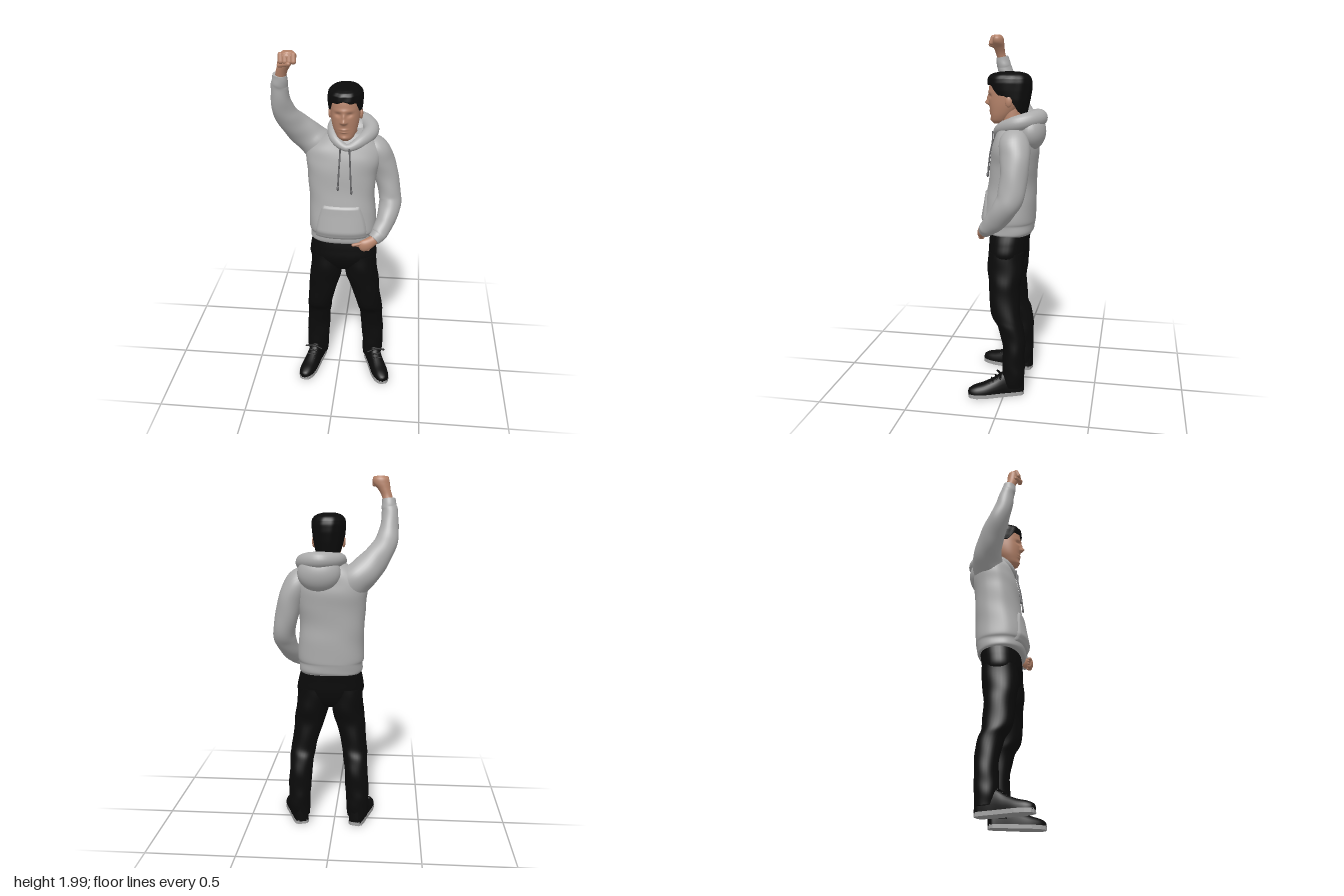
import * as THREE from 'three';

const V = (x, y, z) => new THREE.Vector3(x, y, z);
const material = (name, color) => Object.assign(new THREE.MeshStandardMaterial({ color }), { name });
const spow = (c, n) => Math.sign(c) * Math.abs(c) ** (2 / n);

// Grid surface from a rule fn(i, j); closed joins the last column to the first
function surf(rows, cols, fn, closed = true) {
  const pos = [], idx = [], w = closed ? cols : cols + 1;
  for (let i = 0; i <= rows; i++) for (let j = 0; j < w; j++) pos.push(...fn(i, j).toArray());
  for (let i = 0; i < rows; i++) for (let j = 0; j < cols; j++) {
    const k = (j + 1) % w, a = i * w + j, b = a + w, c = i * w + k, d = c + w;
    idx.push(a, b, c, c, b, d);
  }
  const g = new THREE.BufferGeometry();
  g.setAttribute('position', new THREE.Float32BufferAttribute(pos, 3));
  g.setIndex(idx);
  g.computeVertexNormals();
  return g;
}

// Capped loft through rows of [x, y, z, halfWidth, halfDepth]; level rings unless ref is given
function loft(rows, { ref, seg = 32, steps = 40, n = 2, fold = 0 } = {}) {
  const make = (pts) => new THREE.CatmullRomCurve3(pts, false, 'catmullrom', 0.5);
  const path = make(rows.map((r) => V(r[0], r[1], r[2])));
  const size = make(rows.map((r) => V(r[3], r[4], 0)));
  return surf(steps + 4, seg, (i, j) => {
    const t = Math.min(Math.max((i - 2) / steps, 0), 1), p = path.getPoint(t), s = size.getPoint(t);
    if (i === 0 || i === steps + 4) return p;
    const tan = ref ? path.getTangent(t) : V(0, 1, 0);
    const u = ref ? ref.clone().cross(tan).normalize() : V(1, 0, 0), v = u.clone().cross(tan);
    const a = (j / seg) * Math.PI * 2;
    const f = 1 + fold * (Math.sin(26 * t + 2 * a) + 0.6 * Math.sin(41 * t - 3 * a));
    return p.addScaledVector(u, s.x * f * spow(Math.cos(a), n)).addScaledVector(v, s.y * f * spow(Math.sin(a), n));
  });
}

// Linear lookup of a row at height y
function rowAt(rows, y) {
  let k = 0;
  while (k < rows.length - 2 && y > rows[k + 1][1]) k++;
  const t = THREE.MathUtils.clamp((y - rows[k][1]) / (rows[k + 1][1] - rows[k][1]), 0, 1);
  return rows[k].map((v, i) => v + (rows[k + 1][i] - v) * t);
}

const TORSO = [
  [.02, .915, -.01, .165, .115], [.02, .93, 0, .178, .132], [.02, .97, 0, .18, .136], [.02, 1, .004, .185, .146],
  [.018, 1.1, -.005, .184, .137], [.012, 1.2, -.013, .18, .13], [.015, 1.3, -.022, .19, .128],
  [.02, 1.38, -.03, .205, .125], [.025, 1.44, -.035, .2, .115], [.035, 1.49, -.04, .16, .1], [.042, 1.54, -.035, .09, .075]];
const frontZ = (x, y) => {
  const [cx, , cz, rx, rz] = rowAt(TORSO, y);
  return cz + rz * Math.max(0, 1 - Math.abs((x - cx) / rx) ** 2.5) ** 0.4;
};

export function createModel() {
  const root = new THREE.Group();
  root.name = 'standingFigure';
  const cloth = material('hoodieGrey', 0xacacac), black = material('black', 0x0b0b0b);
  const skin = material('skin', 0xb5836a), rubber = material('soleGrey', 0xa2a2a2), cord = material('cordGrey', 0x666668);
  const add = (name, geo, mat, parent = root) => {
    const m = new THREE.Mesh(geo, mat);
    m.name = name;
    parent.add(m);
    return m;
  };
  const ball = (name, mat, p, s) => {
    const m = add(name, new THREE.SphereGeometry(1, 28, 20), mat);
    m.position.set(...p);
    m.scale.set(...s);
  };
  const rod = (name, mat, a, b, r, parent = root) => {
    const p = V(...a), d = V(...b).sub(p);
    const m = add(name, new THREE.CapsuleGeometry(r, d.length(), 6, 12), mat, parent);
    m.position.copy(p).addScaledVector(d, 0.5);
    m.quaternion.setFromUnitVectors(V(0, 1, 0), d.normalize());
  };

  // Hoodie body and front pocket
  add('hoodieBody', loft(TORSO, { n: 2.5, seg: 56, steps: 70, fold: .007 }), cloth);
  add('pocket', surf(20, 32, (i, j) => {
    const v = i / 20, u = 1 - j / 32, y = .955 + .2 * v;
    const x = THREE.MathUtils.lerp(-.125 + .045 * v * v, .165 - .045 * v * v, u);
    const edge = i % 20 === 0 || j % 32 === 0;
    return V(x, y, frontZ(x, y) + (edge ? -.004 : .009));
  }, false), cloth);

  // Sleeves: one raised, one bent towards the pocket
  const Z = V(0, 0, 1);
  add('raisedSleeve', loft([[-.06, 1.39, -.05, .09, .085], [-.115, 1.44, -.055, .092, .088], [-.175, 1.495, -.045, .083, .08],
    [-.235, 1.565, -.01, .073, .07], [-.28, 1.64, .035, .062, .06], [-.296, 1.72, .07, .052, .05],
    [-.297, 1.8, .09, .044, .042], [-.293, 1.83, .098, .042, .04], [-.29, 1.87, .105, .036, .035]], { ref: Z, fold: .018, steps: 60 }), cloth);
  add('loweredSleeve', loft([[.13, 1.45, -.045, .06, .07], [.19, 1.43, -.05, .072, .08], [.228, 1.36, -.06, .07, .08],
    [.258, 1.26, -.06, .065, .074], [.279, 1.16, -.045, .062, .07], [.279, 1.1, -.015, .06, .066], [.258, 1.03, .035, .053, .058],
    [.232, .985, .08, .046, .048], [.222, .972, .092, .043, .045], [.2, .953, .112, .036, .036]], { ref: Z, fold: .018, steps: 60 }), cloth);

  // Hood lying on the shoulders: rolled rim with a sack behind
  const rim = [[.045, 1.475, .07, .02], [.115, 1.5, .03, .034], [.165, 1.53, -.05, .042], [.138, 1.55, -.125, .045],
    [.07, 1.558, -.165, .046], [0, 1.555, -.125, .042], [-.035, 1.55, -.05, .034], [-.02, 1.51, .03, .03]];
  const rimPath = new THREE.CatmullRomCurve3(rim.map((r) => V(r[0], r[1], r[2])), true, 'catmullrom', 0.5);
  const rimSize = new THREE.CatmullRomCurve3(rim.map((r) => V(r[3], 0, 0)), true, 'catmullrom', 0.5);
  add('hoodRim', surf(64, 20, (i, j) => {
    const t = (i % 64) / 64, tan = rimPath.getTangent(t), a = (j / 20) * Math.PI * 2, r = rimSize.getPoint(t).x;
    const u = V(0, 1, 0).cross(tan).normalize(), v = u.clone().cross(tan);
    return rimPath.getPoint(t).addScaledVector(u, r * Math.cos(a)).addScaledVector(v, r * Math.sin(a));
  }), cloth);
  ball('hoodSack', cloth, [.075, 1.485, -.125], [.118, .1, .078]);

  // Drawstrings with end knots
  for (const [x0, x1, end] of [[.012, .002, 1.26], [.06, .074, 1.24]]) {
    const pts = [0, .25, .5, .75, 1].map((t) => {
      const x = x0 + (x1 - x0) * t, y = 1.48 + (end - 1.48) * t;
      return V(x, y, Math.max(frontZ(x, y) + .009, t === 0 ? .09 : 0));
    });
    add('drawstring', new THREE.TubeGeometry(new THREE.CatmullRomCurve3(pts), 24, .0045, 8), cord);
    ball('drawstringEnd', cord, pts[4].toArray(), [.007, .014, .007]);
  }

  // Neck and head, with the face pushed and pulled by soft bumps [x, y, width, height, amount]
  add('neck', loft([[.045, 1.44, -.025, .06, .06], [.042, 1.52, -.015, .053, .057], [.036, 1.62, -.005, .053, .06]]), skin);
  const head = loft([[.038, 1.52, .06, .022, .028], [.037, 1.535, .055, .042, .045], [.036, 1.56, .045, .056, .06],
    [.034, 1.59, .032, .067, .077], [.033, 1.63, .018, .075, .096], [.032, 1.68, .006, .079, .11],
    [.031, 1.73, 0, .08, .112], [.031, 1.76, 0, .07, .1], [.031, 1.78, 0, .045, .065]], { seg: 96, steps: 90, n: 2.15 });
  const bumps = [[0, 1.632, .012, .013, .022], [0, 1.658, .009, .02, .012], [-.031, 1.668, .017, .011, -.01], [.031, 1.668, .017, .011, -.01],
    [0, 1.69, .045, .009, .004], [0, 1.588, .02, .006, .006], [0, 1.574, .018, .005, .005], [0, 1.541, .02, .011, .007],
    [-.012, 1.627, .007, .006, .006], [.012, 1.627, .007, .006, .006]];
  const hp = head.attributes.position;
  for (let i = 0; i < hp.count; i++) {
    const x = hp.getX(i) - .032, y = hp.getY(i), z = hp.getZ(i);
    if (z > .03) hp.setZ(i, bumps.reduce((s, [bx, by, w, h, a]) => s + a * Math.exp(-(((x - bx) / w) ** 2) - ((y - by) / h) ** 2), z));
  }
  head.computeVertexNormals();
  add('head', head, skin);
  for (const x of [-.05, .114]) ball('ear', skin, [x, 1.643, -.006], [.01, .03, .019]);

  // Short hair shell whose lower edge climbs from nape to forehead
  const HAIR = [[.033, 1.56, -.03, .058, .06], [.032, 1.6, -.024, .073, .075], [.032, 1.65, -.01, .085, .1], [.032, 1.7, -.001, .091, .118],
    [.032, 1.74, .001, .094, .122], [.032, 1.765, .003, .09, .118], [.032, 1.78, .003, .079, .106], [.032, 1.79, .001, .063, .085],
    [.032, 1.797, 0, .038, .052], [.032, 1.8, 0, 0, 0]];
  const EDGE = [[0, -1, 1.565], [0, -.4, 1.585], [0, -.15, 1.635], [0, .1, 1.665], [0, .5, 1.68], [0, .7, 1.72], [0, 1, 1.735]];
  add('hair', surf(32, 64, (i, j) => {
    const a = (j / 64) * Math.PI * 2, s = Math.max(0, i - 1) / 31;
    const low = rowAt(EDGE, Math.sin(a))[2] + .004 * Math.sin(9 * a), y = low + (1.8 - low) * (1 - (1 - s) ** 1.5);
    const [cx, , cz, rx, rz] = rowAt(HAIR, y), f = (i === 0 ? .84 : 1) * (1 + .01 * Math.sin(11 * a + 5 * s));
    return V(cx + rx * f * spow(Math.cos(a), 2.2), y, cz + rz * f * spow(Math.sin(a), 2.2));
  }), black);

  // Raised fist
  add('raisedHand', loft([[-.29, 1.84, .1, .028, .028], [-.28, 1.885, .112, .029, .027], [-.265, 1.92, .118, .034, .031],
    [-.25, 1.95, .122, .045, .035], [-.245, 1.975, .124, .044, .034], [-.243, 1.992, .124, .028, .022]]), skin);
  for (let k = 0; k < 4; k++) {
    const x = -.276 + .021 * k;
    rod('curledFinger', skin, [x, 1.978, .142], [x + .002, 1.948, .154], .0135);
  }
  rod('raisedThumb', skin, [-.285, 1.925, .14], [-.235, 1.938, .162], .0115);

  // Lowered hand hooked at the pocket
  add('loweredHand', loft([[.225, .972, .09, .028, .028], [.195, .95, .118, .03, .026], [.165, .935, .137, .034, .022],
    [.14, .926, .143, .033, .018], [.125, .921, .143, .02, .012]], { ref: Z }), skin);
  for (let k = 0; k < 4; k++)
    rod('finger', skin, [.155 + .006 * k, .94 - .011 * k, .142], [.112 + .016 * k, .93 - .009 * k, .143 - .004 * k], .0095);
  rod('loweredThumb', skin, [.16, .95, .147], [.09, .934, .151], .009);

  // Trousers
  add('trouserSeat', loft([[.028, .71, 0, .06, .045], [.027, .74, .004, .14, .08], [.025, .8, .008, .188, .105],
    [.022, .87, .003, .184, .11], [.02, .94, -.005, .165, .112]], { seg: 40, n: 2.3 }), black);
  const legs = {
    right: [[-.137, .05, -.05, .058, .055], [-.138, .12, -.05, .065, .062], [-.135, .2, -.05, .067, .062], [-.13, .3, -.05, .067, .064],
      [-.122, .4, -.03, .069, .07], [-.115, .47, 0, .073, .08], [-.093, .6, .01, .083, .086], [-.075, .7, .01, .092, .097], [-.068, .82, .006, .09, .1]],
    left: [[.2, .05, -.05, .056, .055], [.204, .12, -.05, .062, .062], [.202, .2, -.05, .064, .062], [.195, .3, -.05, .066, .064],
      [.188, .4, -.03, .069, .07], [.178, .47, 0, .073, .08], [.15, .6, .01, .084, .086], [.129, .7, .01, .094, .097], [.118, .82, .006, .09, .1]],
  };
  for (const side in legs) add(side + 'TrouserLeg', loft(legs[side], { fold: .02, steps: 60, n: 2.2 }), black);

  // Shoes: rows of [z, halfWidth, height] from toe to heel, on a flat sole
  const SHOE = [[.26, .012, .022], [.25, .028, .034], [.22, .043, .047], [.17, .049, .06], [.11, .046, .086],
    [.06, .043, .118], [0, .042, .13], [-.04, .038, .12], [-.057, .022, .1]];
  const widths = new THREE.CatmullRomCurve3(SHOE.map((r) => V(...r)), false, 'catmullrom', 0.5);
  for (const [side, x, turn] of [['right', -.137, -.24], ['left', .2, .34]]) {
    const shoe = new THREE.Group();
    shoe.name = side + 'Shoe';
    shoe.position.set(x, 0, -.05);
    shoe.rotation.y = turn;
    root.add(shoe);
    add('shoeUpper', surf(42, 28, (i, j) => {
      const p = widths.getPoint(THREE.MathUtils.clamp((i - 1) / 40, 0, 1)), a = (j / 28) * Math.PI * 2;
      const f = i === 0 || i === 42 ? 0 : 1;
      return V(p.y * f * spow(Math.cos(a), 2.4), .016 + p.z * f * Math.max(0, spow(Math.sin(a), 2.4)), p.x);
    }), black, shoe);
    const outline = [...SHOE.map((r) => new THREE.Vector2(r[1] + .002, r[0])), ...SHOE.slice().reverse().map((r) => new THREE.Vector2(-r[1] - .002, r[0]))];
    const sole = new THREE.ExtrudeGeometry(new THREE.Shape(outline), { depth: .022, bevelEnabled: false });
    add('shoeSole', sole.rotateX(Math.PI / 2).translate(0, .022, 0), rubber, shoe);
    // Laces and bow
    for (let k = 0; k < 4; k++) rod('lace', black, [-.024, .075 + .016 * k, .145 - .022 * k], [.024, .075 + .016 * k, .145 - .022 * k], .005, shoe);
    for (const s of [-1, 1]) rod('laceBow', black, [0, .125, .075], [s * .05, .118, .085], .006, shoe);
  }
  return root;
}
